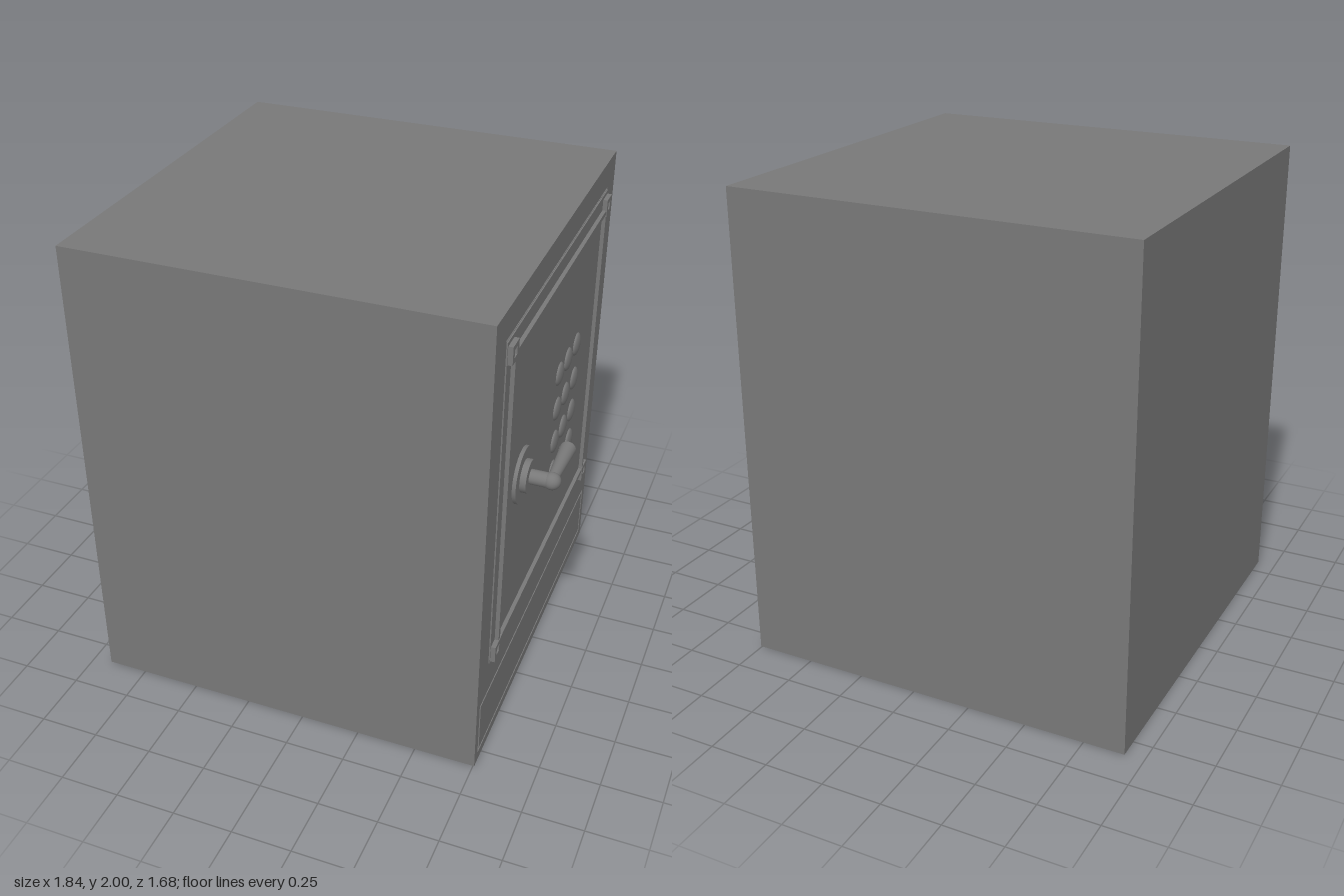
import * as THREE from 'three';

const FACE = 0.755; // x of the door side

export function createModel() {
  const group = new THREE.Group();
  group.name = 'safe';
  const mat = new THREE.MeshStandardMaterial({ color: 0x787878 });

  const add = (name, geo, x, y, z, parent = group) => {
    const mesh = new THREE.Mesh(geo, mat);
    mesh.name = name;
    mesh.position.set(x, y, z);
    parent.add(mesh);
    return mesh;
  };

  // Rectangle in the door plane; u runs along z, v along y
  const rect = (Type, u, v, w, h) => {
    const a = w / 2, b = h / 2;
    return new Type([[-a, -b], [a, -b], [a, b], [-a, b]].map(([p, q]) => new THREE.Vector2(u + p, v + q)));
  };
  // Rectangular plate with rectangular holes, extruded towards +x
  const frame = (w, h, depth, ...holes) => {
    const shape = rect(THREE.Shape, 0, 0, w, h);
    shape.holes.push(...holes.map((hole) => rect(THREE.Path, ...hole)));
    return new THREE.ExtrudeGeometry(shape, { depth, bevelEnabled: false }).rotateY(Math.PI / 2);
  };
  // Turned part whose axis points to +x; points are [radius, height]
  const turned = (points, segments = 32) =>
    new THREE.LatheGeometry(points.map(([r, h]) => new THREE.Vector2(r, h)), segments).rotateZ(-Math.PI / 2);

  // Cabinet: slot above the door, and a lower panel set off by a groove
  const skin = 0.025;
  const depth = FACE - skin + 0.92;
  add('cabinet', new THREE.BoxGeometry(depth, 2, 1.68), -0.92 + depth / 2, 1, 0);
  add('cabinetFace', frame(1.68, 2, skin, [0, -0.835, 1.605, 0.25], [0, 0.88, 1.44, 0.006]), FACE - skin, 1, 0);
  add('lowerPanel', new THREE.BoxGeometry(skin, 0.225, 1.575), FACE - skin / 2, 0.165, 0);

  // Door: slightly proud of the cabinet
  const proud = 0.005;
  add('door', new THREE.BoxGeometry(proud, 1.432, 1.43), FACE + proud / 2, 1.159, 0);

  // Door trim: four bars joined by hollow corner squares
  const trim = new THREE.Group();
  trim.name = 'doorTrim';
  group.add(trim);
  const midY = 1.155, halfY = 0.6675, halfZ = 0.673, size = 0.073, bar = 0.021;
  for (const s of [-1, 1]) {
    add('trimBarHorizontal', new THREE.BoxGeometry(bar, 0.02, 2 * halfZ - size),
      FACE + bar / 2, midY + s * (halfY - 0.02), 0, trim);
    add('trimBarVertical', new THREE.BoxGeometry(bar, 2 * halfY - size, 0.02),
      FACE + bar / 2, midY, s * (halfZ - 0.022), trim);
    for (const t of [-1, 1]) {
      add('trimCorner', frame(size, size, 0.024, [0, 0, 0.032, 0.032]),
        FACE, midY + s * halfY, t * halfZ, trim);
    }
  }

  // Keypad: three columns and four rows of domed keys
  const keypad = new THREE.Group();
  keypad.name = 'keypad';
  group.add(keypad);
  const profile = [[0.05, 0], [0.05, 0.006], [0.047, 0.011], [0.042, 0.014],
    [0.034, 0.017], [0.024, 0.0195], [0.012, 0.0207], [0, 0.021]];
  const keyGeo = turned(profile, 28);
  for (const y of [1.325, 1.16, 1.0, 0.85]) {
    for (const z of [-0.083, -0.212, -0.35]) add('key', keyGeo, FACE, y, z, keypad);
  }

  // Handle: stepped rose, shaft, ball joint and flared lever
  const handle = new THREE.Group();
  handle.name = 'handle';
  handle.position.set(FACE, 1.16, 0.43);
  group.add(handle);
  const disc = (r, h, n = 40) => new THREE.CylinderGeometry(r, r, h, n).rotateZ(-Math.PI / 2);
  add('roseBase', disc(0.115, 0.02), 0.01, 0, 0, handle);
  add('roseCap', disc(0.067, 0.045), 0.0225, 0, 0, handle);
  add('shaft', disc(0.03, 0.127, 24), 0.0635, 0, 0, handle);
  add('ballJoint', new THREE.SphereGeometry(0.035, 24, 16), 0.129, 0, 0, handle);
  add('lever', new THREE.CylinderGeometry(0.032, 0.02, 0.24, 24).rotateX(-Math.PI / 2), 0.127, 0, -0.12, handle);

  return group;
}
